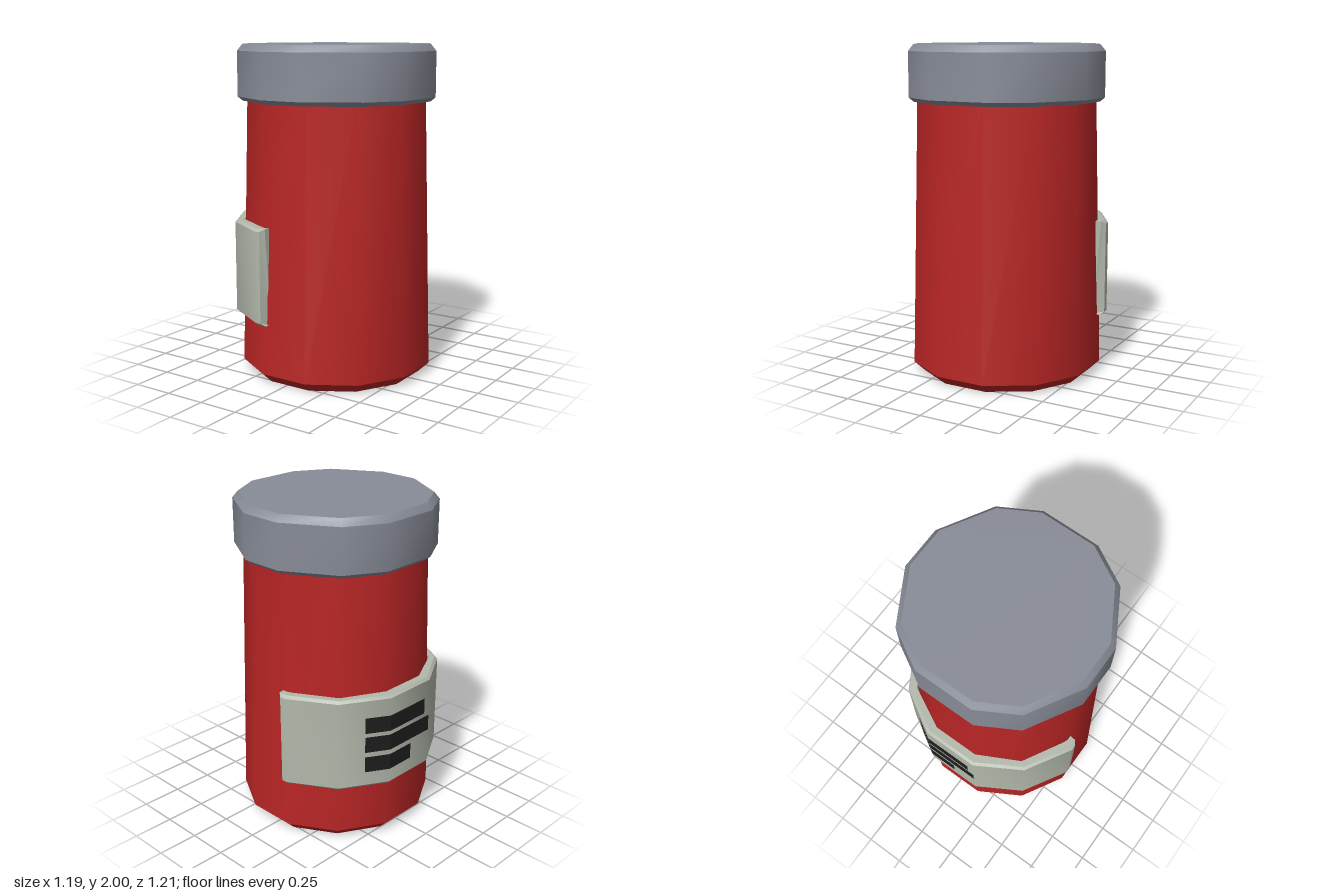
import * as THREE from 'three';
import { toCreasedNormals } from 'three/addons/utils/BufferGeometryUtils.js';

const CENTER_X = 0.017;

// Skin a list of equal-length rings of [x, y, z] points and close both ends.
function loft(rings) {
  const n = rings[0].length;
  const last = (rings.length - 1) * n;
  const index = [];
  for (let i = 0; i < rings.length - 1; i++) {
    for (let j = 0; j < n; j++) {
      const a = i * n + j, b = i * n + (j + 1) % n;
      index.push(a, a + n, b, b, a + n, b + n);
    }
  }
  for (let j = 1; j < n - 1; j++) {
    index.push(0, j, j + 1, last, last + j + 1, last + j);
  }
  const geometry = new THREE.BufferGeometry();
  geometry.setAttribute('position', new THREE.Float32BufferAttribute(rings.flat(2), 3));
  geometry.setIndex(index);
  return toCreasedNormals(geometry, 0.6);
}

// Mirror three corners of one quadrant into a twelve-sided outline.
function twelveSides(quadrant) {
  const flipped = [...quadrant].reverse();
  return [
    ...quadrant,
    ...flipped.map(([x, z]) => [-x, z]),
    ...quadrant.map(([x, z]) => [-x, -z]),
    ...flipped.map(([x, z]) => [x, -z]),
  ];
}

const ring = (outline, y, scale) => outline.map(([x, z]) => [CENTER_X + x * scale, y, z * scale]);

// Mirror half a wrap path across z, running from the back to the front.
const wrap = (half) => [...half.map(([x, z]) => [x, -z]), ...[...half].reverse()];

export function createModel() {
  const group = new THREE.Group();
  const red = new THREE.MeshStandardMaterial({ color: 0xb92525 });
  red.name = 'red';
  const grey = new THREE.MeshStandardMaterial({ color: 0x888c97 });
  grey.name = 'grey';
  const paper = new THREE.MeshStandardMaterial({ color: 0xb3b9ac });
  paper.name = 'paleGrey';
  const black = new THREE.MeshStandardMaterial({ color: 0x1e1e1e, side: THREE.DoubleSide });
  black.name = 'black';

  const add = (name, geometry, material) => {
    const mesh = new THREE.Mesh(geometry, material);
    mesh.name = name;
    group.add(mesh);
  };

  // Tapered body with a bevelled foot
  const bodyOutline = twelveSides([[0.573, 0.154], [0.42, 0.42], [0.154, 0.573]]);
  add('body', loft([
    ring(bodyOutline, 0, 0.895),
    ring(bodyOutline, 0.06, 1),
    ring(bodyOutline, 1.7, 0.922),
  ]), red);

  // Lid bevelled above and below
  const lidOutline = twelveSides([[0.573, 0.18], [0.443, 0.41], [0.133, 0.588]]);
  add('lid', loft([
    ring(lidOutline, 1.665, 0.95),
    ring(lidOutline, 1.69, 1),
    ring(lidOutline, 1.96, 1),
    ring(lidOutline, 2, 0.945),
  ]), grey);

  // Label wrapped around one side, bevelled on all edges
  const buried = wrap([[-0.095, 0.54], [-0.15, 0.54], [-0.4, 0.4], [-0.53, 0.15]]);
  const edge = wrap([[-0.1, 0.585], [-0.155, 0.585], [-0.422, 0.43], [-0.577, 0.168]]);
  const face = wrap([[-0.125, 0.605], [-0.16, 0.605], [-0.435, 0.443], [-0.593, 0.173]]);
  add('label', loft(face.map((_, i) => {
    const at = ([x, z], y) => [x, y, z];
    return [
      at(buried[i], 0.365), at(edge[i], 0.365), at(face[i], 0.382),
      at(face[i], 0.933), at(edge[i], 0.948), at(buried[i], 0.948),
    ];
  })), paper);

  // Printed bars bent over one corner of the label
  [[0.725, 0.825, 0.13], [0.6, 0.7, 0.172], [0.47, 0.57, 0.01]].forEach(([low, high, end], i) => {
    const path = [[-0.519, -0.307], [-0.597, -0.174], [-0.597, end]];
    const geometry = new THREE.BufferGeometry();
    const points = path.flatMap(([x, z]) => [x, low, z, x, high, z]);
    geometry.setAttribute('position', new THREE.Float32BufferAttribute(points, 3));
    geometry.setIndex([0, 2, 1, 1, 2, 3, 2, 4, 3, 3, 4, 5]);
    add('labelBar' + (i + 1), toCreasedNormals(geometry, 0.3), black);
  });

  return group;
}
